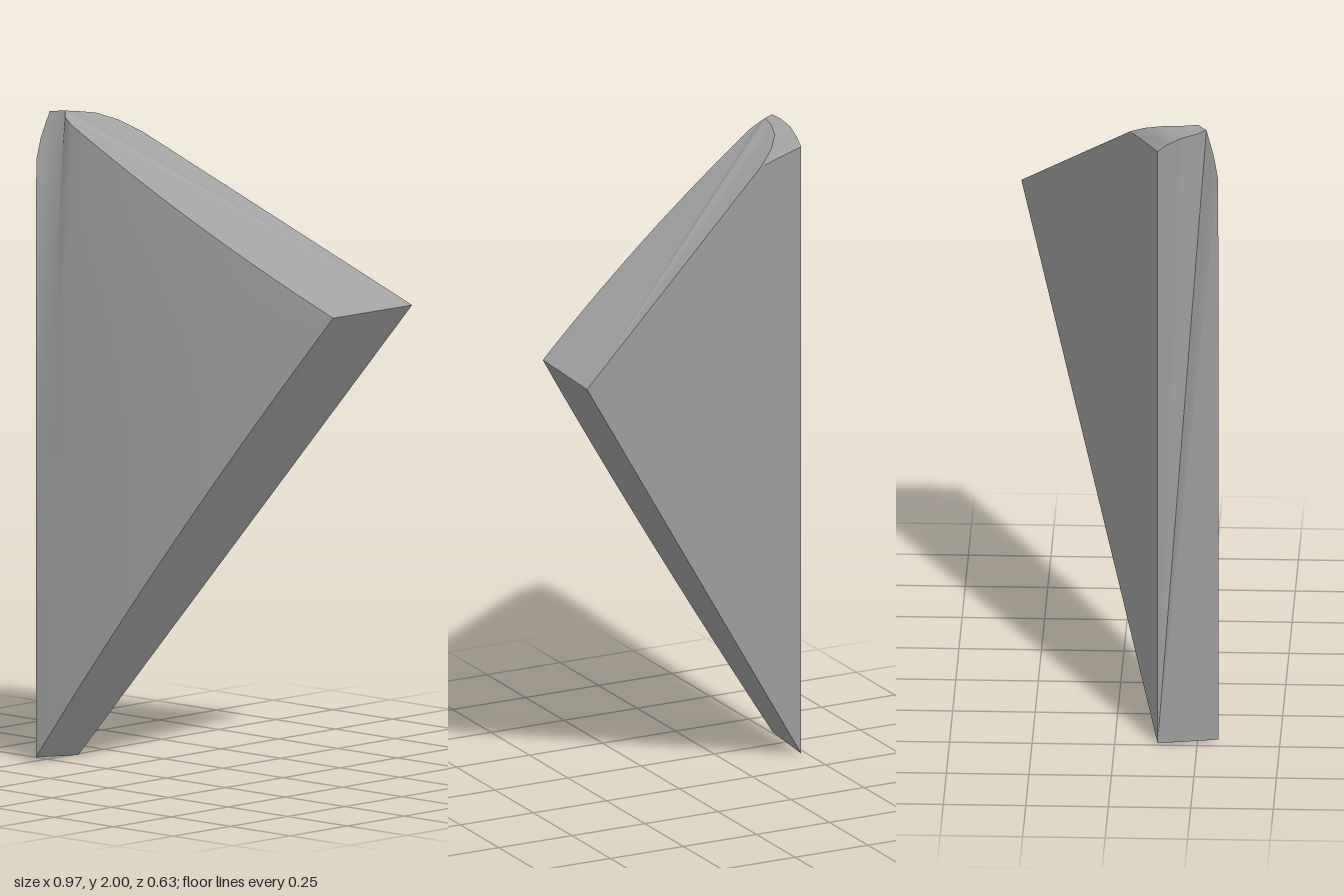
import * as THREE from 'three';

const grey = new THREE.MeshStandardMaterial({ color: 0xa0a0a0 });
grey.name = 'stoneGrey';

// Height of the sloping top plane, and depth of the bowed front
const topY = (x, z) => 1.44 - 0.64 * (x - 0.485) - 0.05 * (z + 0.32);
const bow = (x) => 0.315 - 0.247 * (x + 0.485) - 0.1705 * (x + 0.485) * x;

function makeMesh(name, points, index, flat) {
  let g = new THREE.BufferGeometry();
  g.setAttribute('position', new THREE.Float32BufferAttribute(points.flat(), 3));
  g.setIndex(index);
  if (flat) g = g.toNonIndexed();
  g.computeVertexNormals();
  const mesh = new THREE.Mesh(g, grey);
  mesh.name = name;
  return mesh;
}

// Flat face from an outline, counter-clockwise seen from outside
function fan(name, points) {
  const index = [];
  for (let i = 1; i < points.length - 1; i++) index.push(0, i, i + 1);
  return makeMesh(name, points, index, true);
}

// Smooth surface from columns running left to right, each bottom to top
function sheet(name, columns) {
  const n = columns[0].length, index = [];
  for (let i = 0; i < columns.length - 1; i++) {
    for (let j = 0; j < n - 1; j++) {
      const a = i * n + j, b = a + n;
      index.push(a, b, b + 1, a, b + 1, a + 1);
    }
  }
  return makeMesh(name, columns.flat(), index, false);
}

export function createModel() {
  const group = new THREE.Group();
  group.name = 'wedgeShard';

  const backBottom = [-0.485, 0, 0.13];
  const backTip = [0.485, 1.44, -0.32];

  // Curves either side of the worn top corner, back to front
  const capLeft = [
    [-0.485, 1.935, 0.13], [-0.485, 1.958, 0.16], [-0.485, 1.978, 0.2],
    [-0.477, 1.991, 0.25], [-0.463, 1.998, 0.277],
  ];
  const capRight = [[-0.3, 0.04], [-0.36, 0.085], [-0.4, 0.14], [-0.42, 0.2], [-0.425, 0.25]]
    .map(([x, z]) => [x, topY(x, z), z]);
  capRight[4][1] = 2;

  // Upper edge of the front, left to right
  const frontLeft = [[-0.485, 1.85, 0.313], [-0.478, 1.92, 0.3]];
  const frontTop = [[-0.41, topY(-0.41, 0.265), 0.265]];
  const steps = 14;
  for (let i = 0; i <= steps; i++) {
    const x = -0.38 + 0.845 * i / steps;
    const z = bow(x) - 0.026 * (1 - i / steps);
    frontTop.push([x, topY(x, z), z]);
  }
  const upper = [...frontLeft, capLeft[4], capRight[4], ...frontTop];

  // Bowed front: each column leans in slightly near its top
  const rows = 12;
  const columns = upper.map(([x, y, z], i) => {
    const low = i === upper.length - 1 ? y : 0.015 + 1.495 * (x + 0.485);
    const column = [];
    for (let j = 0; j <= rows; j++) {
      const v = j / rows;
      column.push([x, low + (y - low) * v, bow(x) + (z - bow(x)) * v ** 4]);
    }
    return column;
  });
  group.add(sheet('bowedFront', columns));

  group.add(sheet('wornCorner', [[...capLeft].reverse(), [...capRight].reverse()]));
  group.add(fan('topFace', [backTip, ...capRight, ...frontTop]));
  group.add(fan('backFace', [backBottom, capLeft[0], capRight[0], backTip]));
  group.add(fan('sideFace', [backBottom, ...columns[0], frontLeft[1], ...[...capLeft].reverse()]));
  group.add(fan('underFace', [backBottom, backTip, ...columns.map((c) => c[0]).reverse()]));

  return group;
}
